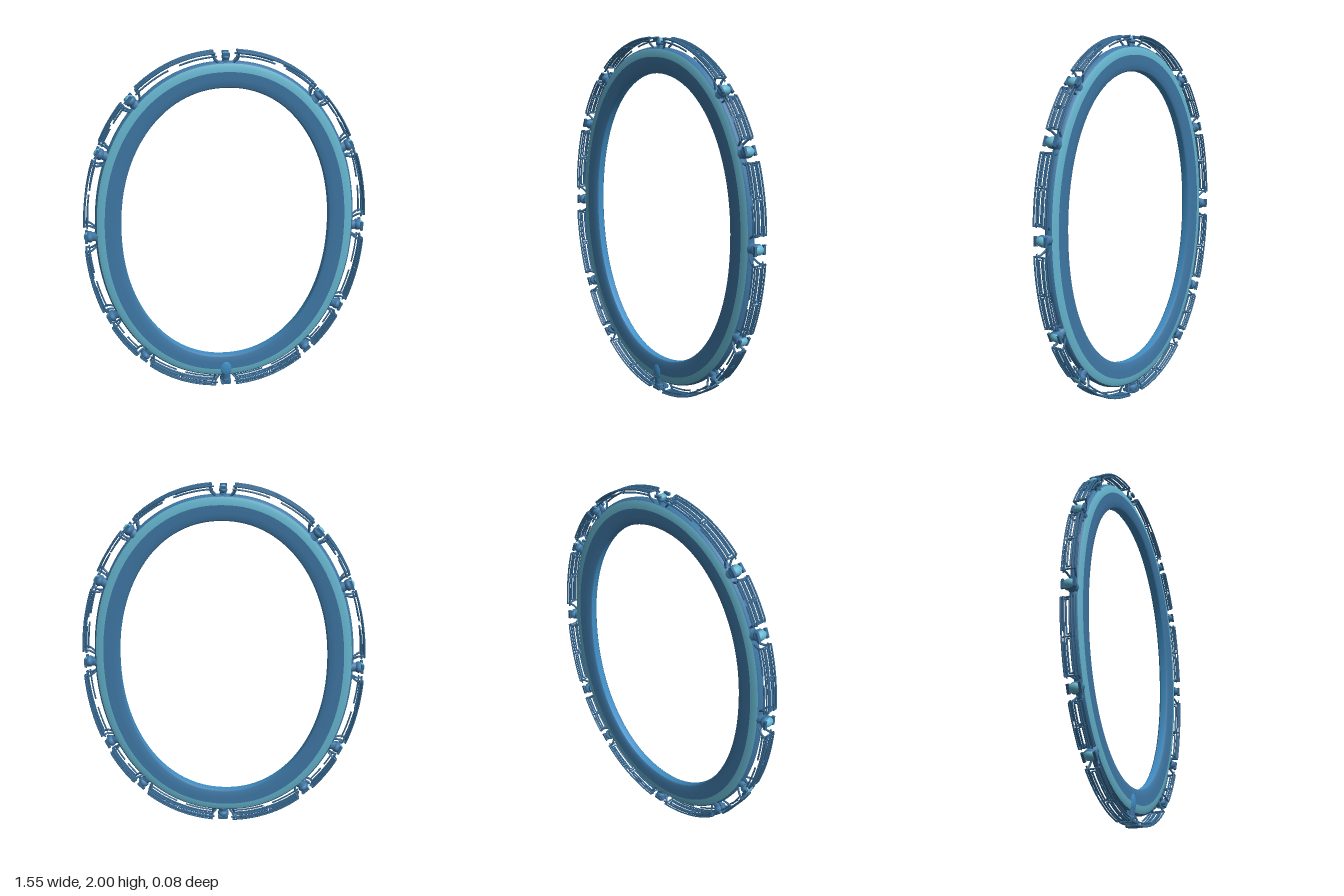
import * as THREE from 'three';

const mat = (name, color) => Object.assign(new THREE.MeshStandardMaterial({ color }), { name });

// point on a slightly squared oval with half-axes a, b
function oval(a, b, t, z = 0) {
  const p = (v) => Math.sign(v) * Math.pow(Math.abs(v), 0.95);
  return new THREE.Vector3(a * p(Math.cos(t)), 1 + b * p(Math.sin(t)), z);
}

// closed band swept around the oval; profile = [f, z], f runs 0 (opening) to 1 (outer rim)
function band(profile, n = 128) {
  const pos = [], idx = [], k = profile.length;
  for (let i = 0; i < n; i++) {
    for (const [f, z] of profile) {
      const p = oval(0.572 + 0.14 * f, 0.806 + 0.137 * f, (i / n) * Math.PI * 2, z);
      pos.push(p.x, p.y + 0.003, p.z);
    }
  }
  for (let i = 0; i < n; i++) {
    const a = i * k, b = ((i + 1) % n) * k;
    for (let j = 0; j < k - 1; j++) idx.push(a + j, a + j + 1, b + j, b + j, a + j + 1, b + j + 1);
  }
  const g = new THREE.BufferGeometry();
  g.setAttribute('position', new THREE.Float32BufferAttribute(pos, 3));
  g.setIndex(idx);
  g.computeVertexNormals();
  return g;
}

export function createModel() {
  const root = new THREE.Group();
  root.name = 'ovalFrame';
  const blue = mat('steel blue', 0x3f78a6);
  const teal = mat('pale teal', 0x66b6d0);
  const bright = mat('bright blue', 0x3f8fc6);
  const wireBlue = mat('wire blue', 0x386c96);

  const add = (parent, name, geo, m) => {
    const mesh = new THREE.Mesh(geo, m);
    mesh.name = name;
    parent.add(mesh);
    return mesh;
  };

  // main ring
  const ring = new THREE.Group();
  ring.name = 'ring';
  root.add(ring);
  const flip = (pts) => pts.map(([f, z]) => [f, -z]).reverse();
  const face = [[0, 0.018], [0.06, 0.026], [0.3, 0.03], [0.62, 0.031]];
  const stripe = [[0.62, 0.031], [0.8, 0.029], [0.92, 0.022]];
  add(ring, 'innerWall', band([[0, -0.018], [-0.015, 0], [0, 0.018]]), bright);
  add(ring, 'frontFace', band(face), blue);
  add(ring, 'frontStripe', band(stripe), teal);
  add(ring, 'outerWall', band([[0.92, 0.022], [0.98, 0.014], [1, 0], [0.98, -0.014], [0.92, -0.022]]), blue);
  add(ring, 'backStripe', band(flip(stripe)), teal);
  add(ring, 'backFace', band(flip(face)), blue);

  // knobs around the rim, given as angles in degrees
  const right = [-90, -52, -30, 0, 28, 50, 90];
  const knobs = [...right, 130, 152, 180, 210, 232];
  const A = 0.769, B = 0.994;

  knobs.forEach((deg) => {
    const t = THREE.MathUtils.degToRad(deg);
    const normal = new THREE.Vector3(Math.cos(t) / A, Math.sin(t) / B, 0).normalize();
    const knob = new THREE.Group();
    knob.name = 'knob';
    knob.position.copy(oval(0.742, 0.966, t));
    knob.quaternion.setFromUnitVectors(new THREE.Vector3(0, 1, 0), normal);
    const s = deg === 90 ? 0.7 : 1;
    // stem into the ring, lumpy body, pale cap and side prongs
    add(knob, 'knobStem', new THREE.CylinderGeometry(0.02 * s, 0.03 * s, 0.05, 8), blue).position.y = -0.015;
    add(knob, 'knobBody', new THREE.DodecahedronGeometry(0.031 * s, 1), blue).scale.set(1, 0.8, 1.2);
    const cap = add(knob, 'knobCap', new THREE.SphereGeometry(0.024 * s, 10, 6, 0, Math.PI * 2, 0, Math.PI / 2), teal);
    cap.position.y = 0.01;
    cap.scale.set(1.1, 0.95, 1.4);
    for (const z of [-1, 1]) {
      const prong = add(knob, 'knobProng', new THREE.BoxGeometry(0.05 * s, 0.014, 0.014), wireBlue);
      prong.position.set(0, 0.018, z * 0.031);
    }
    root.add(knob);
  });

  // wire basket panels between neighbouring knobs
  const wire = (parent, name, pts, closed, r = 0.0048) => {
    const path = new THREE.CatmullRomCurve3(pts, closed, 'catmullrom', 0.2);
    add(parent, name, new THREE.TubeGeometry(path, pts.length * 3, r, 5, closed), wireBlue);
  };
  const arc = (t0, t1, z, inset, n = 6) => Array.from({ length: n + 1 },
    (_, i) => oval(A - inset, B - inset, t0 + ((t1 - t0) * i) / n, z));

  knobs.forEach((deg, i) => {
    const next = i + 1 < knobs.length ? knobs[i + 1] : 270;
    const t0 = THREE.MathUtils.degToRad(deg + 3.2), t1 = THREE.MathUtils.degToRad(next - 3.2);
    const at = (u) => t0 + (t1 - t0) * u;
    const panel = new THREE.Group();
    panel.name = 'wirePanel';
    root.add(panel);
    // long slotted loops side by side
    const slot = (u0, u1, z0, z1, inset) => wire(panel, 'slotLoop',
      [...arc(at(u0), at(u1), z0, inset), ...arc(at(u1), at(u0), z1, inset)], true);
    slot(0.02, 0.98, 0.036, 0.02, 0);
    slot(0.02, 0.98, -0.02, -0.036, 0);
    slot(0.06, 0.47, 0.009, -0.009, 0.002);
    slot(0.53, 0.94, 0.009, -0.009, 0.002);
    // inner rails and struts back towards the ring
    for (const z of [-0.034, 0.034]) {
      wire(panel, 'innerRail', arc(at(0), at(0.42), z, 0.017), false);
      wire(panel, 'innerRail', arc(at(0.55), at(1), z, 0.017), false);
      for (const u of [0.03, 0.97]) {
        wire(panel, 'strut', [oval(A, B, at(u), z), oval(A - 0.03, B - 0.03, at(u), z * 0.7),
          oval(0.7, 0.93, at(u < 0.5 ? u - 0.06 : u + 0.06), z * 0.3)], false, 0.006);
      }
    }
    // cross ties
    for (const u of [0.03, 0.5, 0.97]) wire(panel, 'crossTie', arc(at(u), at(u) + 0.001, 0, 0.004, 1)
      .map((p, k) => p.setZ(k ? 0.034 : -0.034)), false);
  });

  // clasp at the bottom of the front
  const clasp = new THREE.Group();
  clasp.name = 'bottomClasp';
  root.add(clasp);
  const pad = add(clasp, 'claspPad', new THREE.SphereGeometry(0.04, 14, 10), bright);
  pad.position.set(0, 0.115, 0.024);
  pad.scale.set(0.95, 1.25, 0.33);
  add(clasp, 'claspStem', new THREE.CylinderGeometry(0.03, 0.022, 0.07, 8), blue).position.set(0, 0.05, 0.01);
  add(clasp, 'claspFoot', new THREE.BoxGeometry(0.06, 0.02, 0.06), blue).position.set(0, 0.018, 0);

  return root;
}
